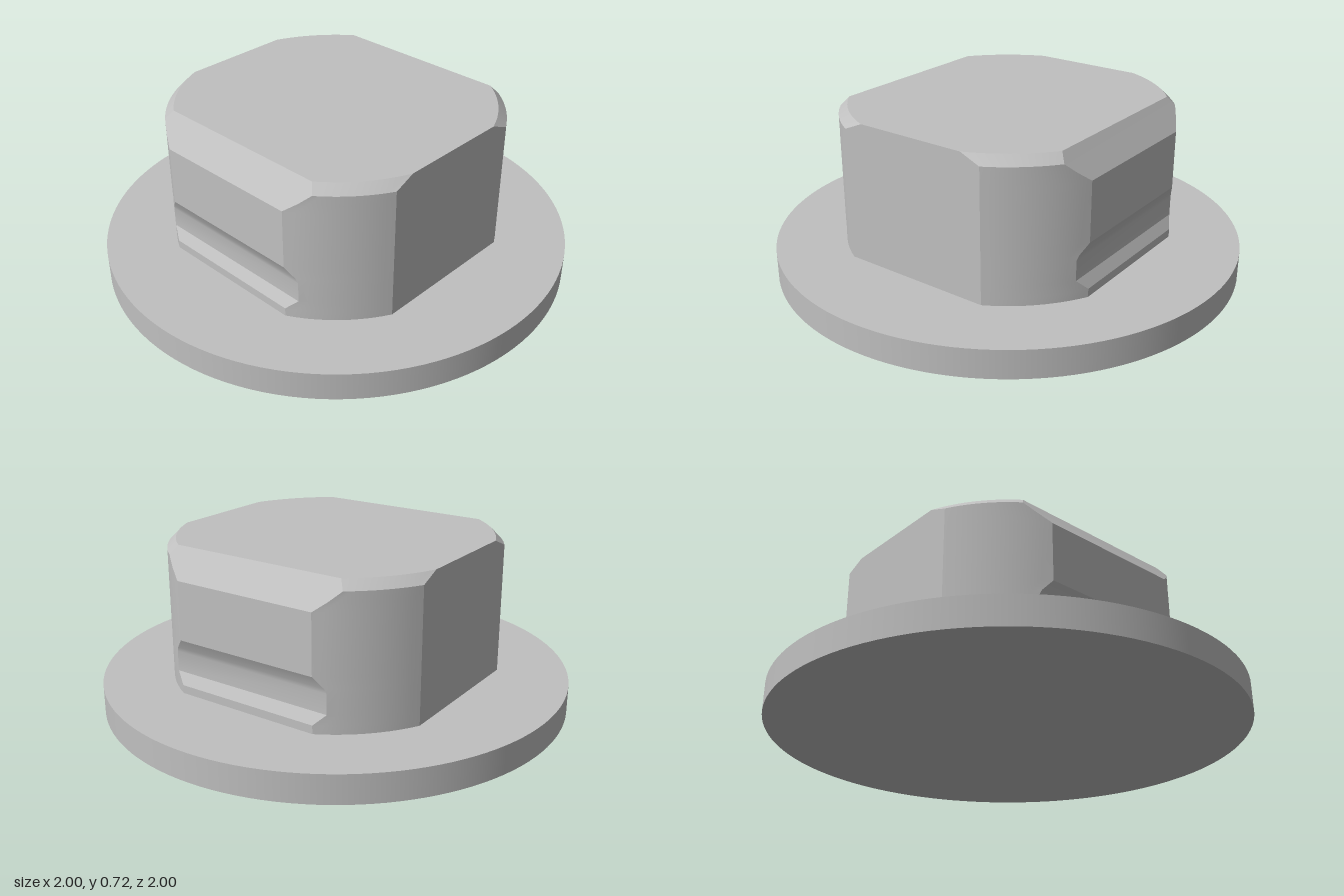
import * as THREE from 'three';
import { toCreasedNormals } from 'three/addons/utils/BufferGeometryUtils.js';

const HALF_WIDTH = 0.618; // flat sides at +x and -x
const ARC_STEPS = 10;

// Levels of the head: [height, corner radius, half depth to the front and back flats]
const LEVELS = [
  [0.12, 0.702, 0.622],
  [0.155, 0.702, 0.622], // grip groove starts
  [0.2, 0.702, 0.595],
  [0.285, 0.702, 0.595],
  [0.305, 0.702, 0.6],
  [0.35, 0.702, 0.622], // grip groove ends
  [0.6, 0.702, 0.622], // front and back chamfers start
  [0.64, 0.702, 0.592],
  [0.68, 0.702, 0.562], // corner chamfers start
  [0.717, 0.665, 0.535],
];

// Outline of a circle cut by four flats, walked from +z towards +x
function ring([y, r, depth]) {
  const a = Math.acos(depth / r);
  const b = Math.asin(HALF_WIDTH / r);
  const arcs = [
    [a, b],
    [Math.PI - b, Math.PI - a],
    [Math.PI + a, Math.PI + b],
    [2 * Math.PI - b, 2 * Math.PI - a],
  ];
  const points = [];
  for (const [from, to] of arcs) {
    for (let i = 0; i <= ARC_STEPS; i++) {
      const t = from + ((to - from) * i) / ARC_STEPS;
      points.push([r * Math.sin(t), y, r * Math.cos(t)]);
    }
  }
  return points;
}

// Skin the levels and close the top
function headGeometry() {
  const rings = LEVELS.map(ring);
  const n = rings[0].length;
  const top = rings[rings.length - 1];
  const positions = [];
  const triangle = (...corners) => corners.forEach((p) => positions.push(...p));
  for (let k = 0; k < rings.length - 1; k++) {
    for (let i = 0; i < n; i++) {
      const j = (i + 1) % n;
      triangle(rings[k][i], rings[k][j], rings[k + 1][j]);
      triangle(rings[k][i], rings[k + 1][j], rings[k + 1][i]);
    }
  }
  for (let i = 0; i < n; i++) triangle([0, top[0][1], 0], top[i], top[(i + 1) % n]);

  const geometry = new THREE.BufferGeometry();
  geometry.setAttribute('position', new THREE.Float32BufferAttribute(positions, 3));
  return toCreasedNormals(geometry, THREE.MathUtils.degToRad(20));
}

export function createModel() {
  const model = new THREE.Group();
  model.name = 'flangedPlug';
  const grey = new THREE.MeshStandardMaterial({ color: 0xc0c0c0 });
  grey.name = 'plainGrey';

  // Round base flange
  const flange = new THREE.Mesh(new THREE.CylinderGeometry(1, 1, 0.12, 128), grey);
  flange.name = 'flange';
  flange.position.y = 0.06;
  model.add(flange);

  // Square head with rounded corners, chamfered top and grip grooves
  const head = new THREE.Mesh(headGeometry(), grey);
  head.name = 'head';
  model.add(head);

  return model;
}
